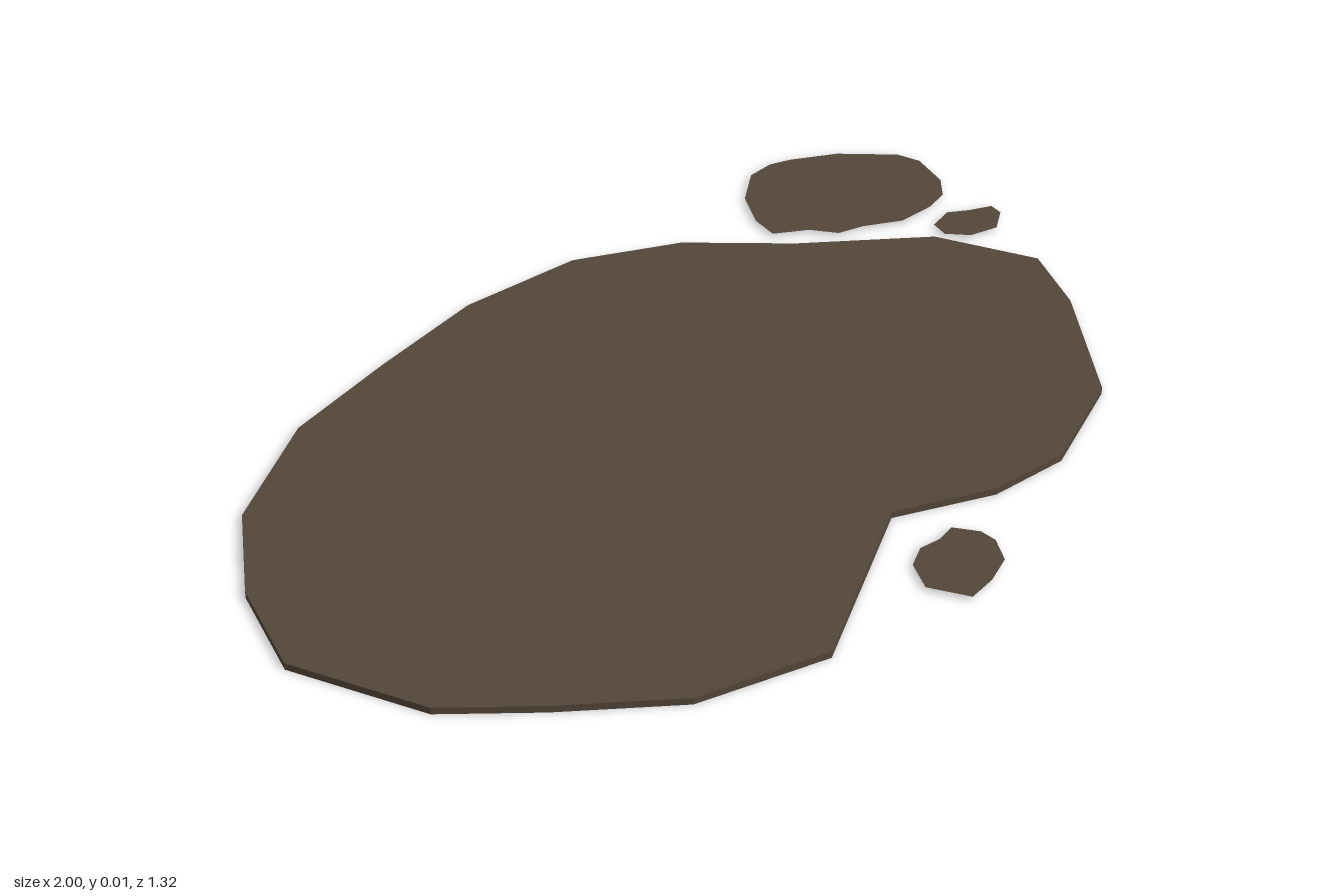
import * as THREE from 'three';

const THICKNESS = 0.014;
const SHEET_HEIGHT = 0.008;

// Outlines as [x, z] seen from above
const MAIN = [
  [-1, -0.01], [-0.93, -0.215], [-0.8, -0.4], [-0.56, -0.55], [-0.31, -0.61],
  [-0.06, -0.66], [0.2, -0.645], [0.405, -0.545], [0.57, -0.385], [0.795, -0.21],
  [0.885, -0.01], [0.815, 0.14], [0.63, 0.385], [0.41, 0.48], [0.245, 0.47],
  [0.055, 0.39], [-0.305, 0.6], [-0.56, 0.53], [-0.75, 0.38], [-0.895, 0.25],
];
const PATCHES = {
  largePatch: [
    [0.57, -0.45], [0.58, -0.51], [0.625, -0.59], [0.7, -0.65], [0.76, -0.655],
    [0.805, -0.64], [0.895, -0.59], [0.985, -0.5], [1, -0.45], [0.975, -0.365],
    [0.935, -0.32], [0.88, -0.305], [0.8, -0.305], [0.725, -0.345], [0.67, -0.36], [0.635, -0.41],
  ],
  smallPatch: [
    [0.825, -0.21], [0.835, -0.25], [0.89, -0.265], [0.93, -0.24],
    [0.975, -0.22], [0.97, -0.19], [0.92, -0.155], [0.86, -0.17],
  ],
  frontPatch: [
    [-0.055, 0.58], [-0.025, 0.52], [0.02, 0.495], [0.065, 0.5], [0.105, 0.49],
    [0.135, 0.535], [0.135, 0.57], [0.105, 0.62], [0.045, 0.645], [-0.015, 0.655],
  ],
};

// Shape plane is turned to lie flat, so shape y is -z
const toShape = (points) => new THREE.Shape(points.map(([x, z]) => new THREE.Vector2(x, -z)));

export function createModel() {
  const group = new THREE.Group();
  const material = new THREE.MeshStandardMaterial({ color: 0x54473a, flatShading: true, side: THREE.DoubleSide });

  const add = (name, geometry, y) => {
    geometry.rotateX(-Math.PI / 2);
    const mesh = new THREE.Mesh(geometry, material);
    mesh.name = name;
    mesh.position.y = y;
    group.add(mesh);
  };

  // Main ground slab
  add('groundSlab', new THREE.ExtrudeGeometry(toShape(MAIN), { depth: THICKNESS, bevelEnabled: false }), 0);

  // Loose flat patches around it
  for (const [name, points] of Object.entries(PATCHES)) {
    add(name, new THREE.ShapeGeometry(toShape(points)), SHEET_HEIGHT);
  }
  return group;
}
